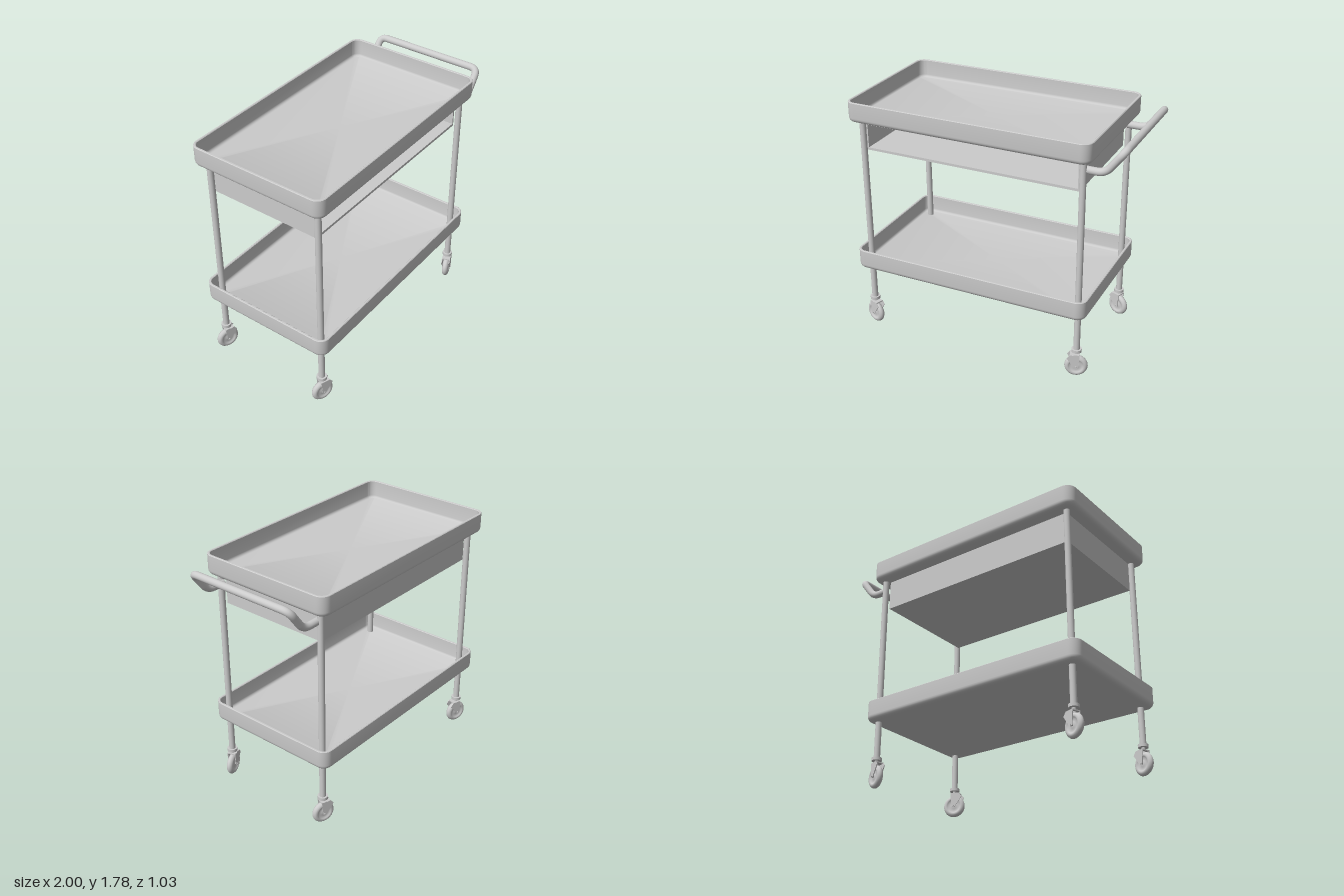
import * as THREE from 'three';
import { toCreasedNormals } from 'three/addons/utils/BufferGeometryUtils.js';

const mat = new THREE.MeshStandardMaterial({ color: 0xcccccc });
const CX = -0.11; // centre of the cart body along x
const LEG_X = [-0.915, 0.71], LEG_Z = 0.435;

function add(parent, name, geometry, x = 0, y = 0, z = 0) {
  const mesh = new THREE.Mesh(geometry, mat);
  mesh.name = name;
  mesh.position.set(x, y, z);
  parent.add(mesh);
  return mesh;
}

// One closed rounded-rectangle ring, moved inwards by inset
function ring(hx, hz, radius, inset, y) {
  const pts = [], r = Math.max(radius - inset, 0.012), seg = 8;
  const cx = hx - inset - r, cz = hz - inset - r;
  [[1, 1], [-1, 1], [-1, -1], [1, -1]].forEach(([sx, sz], q) => {
    for (let i = 0; i <= seg; i++) {
      const a = (q + i / seg) * Math.PI / 2;
      pts.push([sx * cx + Math.cos(a) * r, y, sz * cz + Math.sin(a) * r]);
    }
  });
  return pts;
}

// Tray: a wall profile carried round the rounded rectangle, closed below and inside
function trayGeometry(height) {
  const profile = [], bend = 0.035, wall = 0.018, floor = 0.014;
  for (let i = 0; i <= 5; i++) { // outer bottom bend
    const a = i / 5 * Math.PI / 2;
    profile.push([bend * (1 - Math.sin(a)), bend * (1 - Math.cos(a))]);
  }
  profile.push([0, height - 0.004], [0.004, height], [wall - 0.004, height], [wall, height - 0.004]);
  for (let i = 0; i <= 4; i++) { // inner bottom bend
    const a = i / 4 * Math.PI / 2, r = 0.02;
    profile.push([wall + r * (1 - Math.cos(a)), floor + r * (1 - Math.sin(a))]);
  }
  const rings = profile.map(([inset, y]) => ring(0.89, 0.517, 0.07, inset, y));
  const n = rings[0].length, pos = [];
  for (let k = 0; k < rings.length - 1; k++) {
    for (let j = 0; j < n; j++) {
      const a = rings[k][j], b = rings[k][(j + 1) % n];
      const c = rings[k + 1][j], d = rings[k + 1][(j + 1) % n];
      pos.push(...a, ...c, ...b, ...b, ...c, ...d);
    }
  }
  const last = rings[rings.length - 1];
  for (let j = 0; j < n; j++) { // underside and inner floor
    const m = (j + 1) % n;
    pos.push(0, 0, 0, ...rings[0][j], ...rings[0][m]);
    pos.push(0, floor, 0, ...last[m], ...last[j]);
  }
  const g = new THREE.BufferGeometry();
  g.setAttribute('position', new THREE.Float32BufferAttribute(pos, 3));
  return toCreasedNormals(g, 0.6);
}

// Path through points with rounded corners
function roundedPath(points, r) {
  const path = new THREE.CurvePath();
  let from = points[0];
  for (let i = 1; i < points.length - 1; i++) {
    const p = points[i];
    const a = p.clone().add(points[i - 1].clone().sub(p).setLength(r));
    const b = p.clone().add(points[i + 1].clone().sub(p).setLength(r));
    path.add(new THREE.LineCurve3(from, a));
    path.add(new THREE.QuadraticBezierCurve3(a, p, b));
    from = b;
  }
  path.add(new THREE.LineCurve3(from, points[points.length - 1]));
  return path;
}

// Swivel caster; lean is the side the fork top leans to, yaw its swivel angle
function caster(lean, yaw) {
  const g = new THREE.Group();
  g.name = 'caster';
  add(g, 'casterCollar', new THREE.CylinderGeometry(0.036, 0.036, 0.022, 24), 0, 0.209, 0);
  add(g, 'casterStem', new THREE.CylinderGeometry(0.014, 0.014, 0.05, 16), 0, 0.18, 0);
  const swivel = new THREE.Group();
  swivel.name = 'casterSwivel';
  swivel.rotation.y = yaw;
  g.add(swivel);

  // Wheel with rounded tyre and recessed hub
  const half = [[0, 0.017], [0.02, 0.017], [0.024, 0.012], [0.044, 0.013], [0.05, 0.02],
    [0.06, 0.023], [0.071, 0.019], [0.079, 0.01], [0.082, 0]];
  const profile = [...half.map(([r, y]) => [r, -y]), ...half.slice(0, -1).reverse()];
  const wheelGeo = new THREE.LatheGeometry(profile.map(([r, y]) => new THREE.Vector2(r, y)), 32);
  wheelGeo.rotateX(Math.PI / 2);
  add(swivel, 'wheel', wheelGeo, 0, 0.082, 0);

  const axle = new THREE.CylinderGeometry(0.007, 0.007, 0.074, 12);
  axle.rotateX(Math.PI / 2);
  add(swivel, 'axle', axle, 0, 0.082, 0);

  // Tapered fork cheeks joined by a top plate
  const cheek = new THREE.Shape();
  cheek.moveTo(-0.024 * lean, 0.178);
  cheek.lineTo(0.045 * lean, 0.178);
  cheek.lineTo(0.066 * lean, 0.152);
  cheek.lineTo(0.013 * lean, 0.076);
  cheek.quadraticCurveTo(0, 0.064, -0.013 * lean, 0.076);
  cheek.closePath();
  const cheekGeo = new THREE.ExtrudeGeometry(cheek, { depth: 0.006, bevelEnabled: false });
  for (const z of [-0.032, 0.026]) add(swivel, 'forkCheek', cheekGeo, 0, 0, z);
  add(swivel, 'forkTop', new THREE.BoxGeometry(0.069, 0.008, 0.062), 0.0105 * lean, 0.176, 0);
  return g;
}

export function createModel() {
  const model = new THREE.Group();
  model.name = 'trolley';

  // Trays
  const tray = trayGeometry(0.147);
  add(model, 'topTray', tray, CX, 1.629, 0);
  add(model, 'lowerTray', tray, CX, 0.487, 0);

  // Legs and casters
  const legGeo = new THREE.CylinderGeometry(0.0225, 0.0225, 1.425, 24);
  for (const x of LEG_X) {
    for (const s of [1, -1]) {
      add(model, 'leg', legGeo, x, 0.2125 + 0.7125, s * LEG_Z);
      const c = caster(x < 0 ? 1 : -1, x > 0 && s > 0 ? 0.34 : -0.34);
      c.position.set(x, 0, s * LEG_Z);
      model.add(c);
    }
  }

  // Compartment under the top tray, open at the front
  const box = new THREE.Group();
  box.name = 'compartment';
  model.add(box);
  const w = 1.585, d = 0.83, t = 0.012, y0 = 1.404, y1 = 1.632;
  const h = y1 - y0, ym = (y0 + y1) / 2;
  add(box, 'compartmentFloor', new THREE.BoxGeometry(w, 0.018, d), CX, y0 + 0.009, 0);
  add(box, 'compartmentTop', new THREE.BoxGeometry(w, 0.04, d), CX, y1 - 0.02, 0);
  add(box, 'compartmentBack', new THREE.BoxGeometry(w, h, t), CX, ym, -d / 2 + t / 2);
  for (const s of [-1, 1]) {
    add(box, 'compartmentSide', new THREE.BoxGeometry(t, h, d), CX + s * (w - t) / 2, ym, 0);
  }

  // Push handle
  const arm = [[0.71, 1.567], [0.85, 1.567], [0.972, 1.73]];
  const points = [
    ...arm.map(([x, y]) => new THREE.Vector3(x, y, 0.415)),
    ...arm.slice().reverse().map(([x, y]) => new THREE.Vector3(x, y, -0.415)),
  ];
  add(model, 'handle', new THREE.TubeGeometry(roundedPath(points, 0.055), 160, 0.026, 16));

  return model;
}
